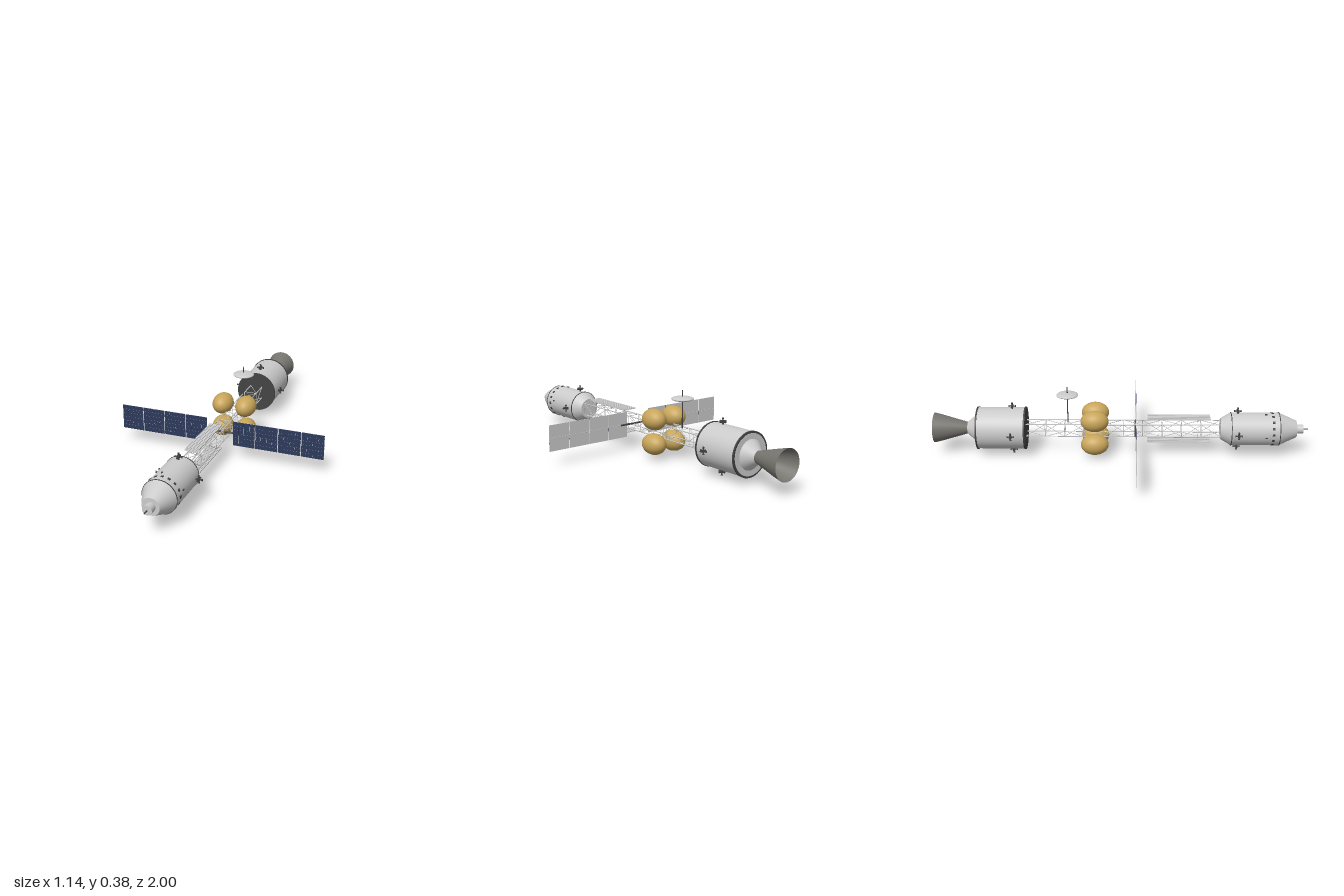
import * as THREE from 'three';

const AXIS = 0.145; // height of the ship's long axis
const mat = (color, side = THREE.FrontSide) => new THREE.MeshStandardMaterial({ color, side });
const grey = mat(0xcccccc), dark = mat(0x444444), gold = mat(0xc8a55a), blue = mat(0x2c3a5c);
const bellMat = mat(0x77756f, THREE.DoubleSide);

function add(parent, name, geometry, material) {
  const mesh = new THREE.Mesh(geometry, material);
  mesh.name = name;
  parent.add(mesh);
  return mesh;
}

// round section along z, from the back radius to the front radius
function section(parent, name, z0, r0, z1, r1, material = grey, sides = 40) {
  const g = new THREE.CylinderGeometry(r1, r0, z1 - z0, sides);
  g.rotateX(Math.PI / 2).translate(0, 0, (z0 + z1) / 2);
  return add(parent, name, g, material);
}

// thin rod between two points
function rod(parent, name, a, b, r, material = grey, sides = 6) {
  const p = new THREE.Vector3(...a), q = new THREE.Vector3(...b), d = q.clone().sub(p);
  const m = add(parent, name, new THREE.CylinderGeometry(r, r, d.length(), sides), material);
  m.position.copy(p).add(q).multiplyScalar(0.5);
  m.quaternion.setFromUnitVectors(new THREE.Vector3(0, 1, 0), d.normalize());
  return m;
}

function box(parent, name, w, h, d, x, y, z, material = grey) {
  const m = add(parent, name, new THREE.BoxGeometry(w, h, d), material);
  m.position.set(x, y, z);
  return m;
}

// four thruster clusters around a hull, each with small cones on a block
function thrusters(parent, z, hullR, centreR) {
  for (let i = 0; i < 4; i++) {
    const g = new THREE.Group();
    g.name = 'thrusterCluster';
    box(g, 'thrusterBlock', 0.013, 0.013, 0.013, 0, centreR, 0, dark);
    rod(g, 'thrusterMount', [0, hullR - 0.005, 0], [0, centreR, 0], 0.005, dark);
    for (const d of [[1, 0, 0], [-1, 0, 0], [0, 1, 0], [0, 0, 1], [0, 0, -1]]) {
      const v = new THREE.Vector3(...d);
      const cone = add(g, 'thrusterNozzle', new THREE.CylinderGeometry(0.0055, 0.0025, 0.014, 10), dark);
      cone.quaternion.setFromUnitVectors(new THREE.Vector3(0, 1, 0), v);
      cone.position.set(0, centreR, 0).addScaledVector(v, 0.0125);
    }
    g.position.z = z;
    g.rotation.z = i * Math.PI / 2;
    parent.add(g);
  }
}

function crewModule() {
  const g = new THREE.Group();
  g.name = 'crewModule';
  section(g, 'rearCone', 0.53, 0.056, 0.585, 0.088);
  section(g, 'hull', 0.585, 0.088, 0.84, 0.088);
  section(g, 'noseCone', 0.84, 0.088, 0.935, 0.045);
  section(g, 'dockingPort', 0.935, 0.024, 0.972, 0.024);
  section(g, 'dockingProbe', 0.972, 0.003, 1, 0.003, dark, 8);
  for (const z of [0.585, 0.84]) section(g, 'seam', z - 0.002, 0.0895, z + 0.002, 0.0895, dark);
  // ring of windows
  for (let i = 0; i < 16; i++) {
    const a = i * Math.PI / 8;
    const w = box(g, 'window', 0.004, 0.013, 0.013, 0.088 * Math.cos(a), 0.088 * Math.sin(a), 0.805, dark);
    w.rotation.z = a;
  }
  // short handrails
  for (let i = 0; i < 4; i++) {
    const a = i * Math.PI / 2 + 0.2;
    const h = box(g, 'handrail', 0.005, 0.005, 0.012, 0.09 * Math.cos(a), 0.09 * Math.sin(a), 0.768, dark);
    h.rotation.z = a;
  }
  thrusters(g, 0.62, 0.088, 0.102);
  return g;
}

function truss() {
  const g = new THREE.Group(), h = 0.034, bays = 10, z0 = -0.51, step = 1.04 / bays;
  g.name = 'truss';
  const corners = [[h, h], [-h, h], [-h, -h], [h, -h]];
  corners.forEach(([x, y], c) => {
    const [u, v] = corners[(c + 1) % 4];
    rod(g, 'longeron', [x, y, z0], [x, y, 0.53], 0.0028);
    for (let i = 0; i <= bays; i++) {
      const z = z0 + i * step;
      rod(g, 'batten', [x, y, z], [u, v, z], 0.0015);
      if (i === bays) continue;
      // diagonals zigzag, crossing those on the opposite side
      if (i % 2) rod(g, 'diagonal', [x, y, z], [u, v, z + step], 0.0015);
      else rod(g, 'diagonal', [u, v, z], [x, y, z + step], 0.0015);
    }
  });
  return g;
}

function engineModule() {
  const g = new THREE.Group();
  g.name = 'engineModule';
  section(g, 'hull', -0.767, 0.111, -0.51, 0.111);
  for (const z of [-0.512, -0.765]) section(g, 'rim', z - 0.004, 0.114, z + 0.004, 0.114, dark);
  section(g, 'rearPlate', -0.771, 0.104, -0.765, 0.104);
  section(g, 'thrustCone', -0.822, 0.032, -0.769, 0.078);
  // engine bell, open at the back
  const profile = [[0.08, -1], [0.069, -0.955], [0.056, -0.91], [0.042, -0.86], [0.029, -0.815]];
  const bell = new THREE.LatheGeometry(profile.map(p => new THREE.Vector2(...p)), 40);
  add(g, 'engineBell', bell.rotateX(Math.PI / 2), bellMat);
  thrusters(g, -0.58, 0.111, 0.1255);
  return g;
}

function solarWing(side) {
  const g = new THREE.Group(), z = 0.08, w = 0.121, pitch = 0.1245;
  g.name = side > 0 ? 'leftSolarWing' : 'rightSolarWing';
  for (let i = 0; i < 4; i++) {
    const x = side * (0.0715 + pitch * (i + 0.5));
    box(g, 'panelBack', w, 0.137, 0.002, x, 0, z);
    // solar cells on the front
    for (let c = 0; c < 4; c++) for (let r = 0; r < 6; r++) {
      const cw = w / 4, ch = 0.137 / 6;
      box(g, 'solarCell', cw - 0.0006, ch - 0.0008, 0.001,
        x + (c - 1.5) * cw, (r - 2.5) * ch, z + 0.0013, blue);
    }
  }
  rod(g, 'wingSpar', [side * 0.07, 0, z - 0.002], [side * 0.565, 0, z - 0.002], 0.0015);
  return g;
}

function radiator(side) {
  const g = new THREE.Group(), y = side * 0.064;
  g.name = side > 0 ? 'upperRadiator' : 'lowerRadiator';
  box(g, 'radiatorPanel', 0.068, 0.003, 0.335, 0, y, 0.307);
  for (let i = 0; i < 9; i++) box(g, 'radiatorRib', 0.0028, 0.006, 0.335, (i - 4) * 0.008, y, 0.307);
  for (const z of [0.2, 0.41]) rod(g, 'radiatorPost', [0, side * 0.034, z], [0, y, z], 0.0015);
  return g;
}

export function createModel() {
  const model = new THREE.Group();
  model.name = 'spaceship';
  model.position.y = AXIS;
  model.add(crewModule(), truss(), engineModule());
  for (const s of [1, -1]) model.add(solarWing(s), radiator(s));
  rod(model, 'wingBoom', [-0.115, 0, 0.077], [0.115, 0, 0.077], 0.005, dark, 12);

  // four propellant tanks clustered round the truss
  for (const x of [-1, 1]) for (const y of [-1, 1]) {
    const t = add(model, 'propellantTank', new THREE.SphereGeometry(1, 32, 20), gold);
    t.scale.set(0.056, 0.056, 0.074);
    t.position.set(x * 0.066, y * 0.066, -0.14);
  }

  // antenna on its mast
  rod(model, 'antennaMast', [0, 0.034, -0.285], [0, 0.235, -0.285], 0.0028, dark, 8);
  const dish = add(model, 'antennaDish', new THREE.SphereGeometry(1, 32, 16), grey);
  dish.scale.set(0.058, 0.012, 0.058);
  dish.position.set(0, 0.19, -0.285);

  const root = new THREE.Group();
  root.name = 'model';
  root.add(model);
  return root;
}
